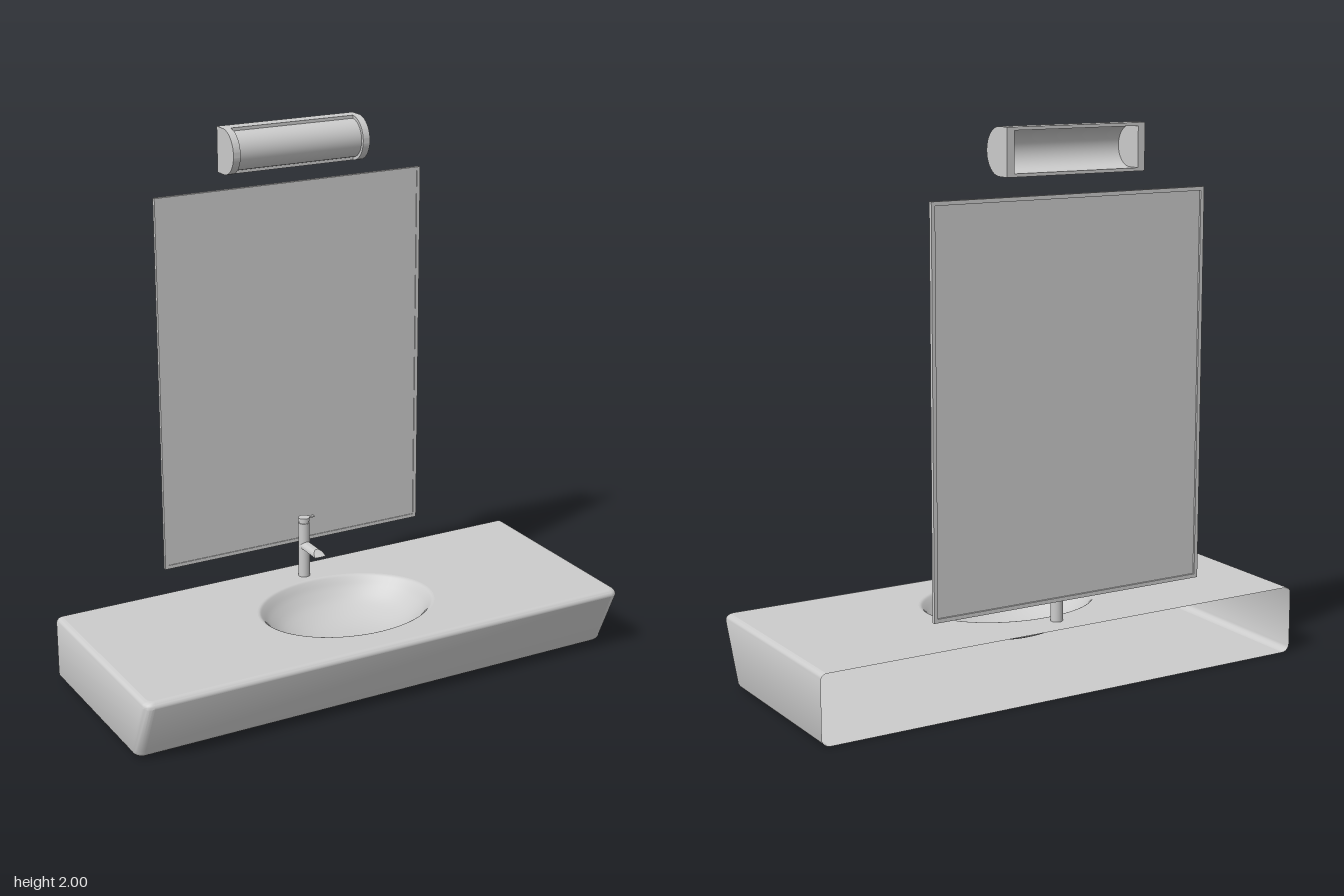
import * as THREE from 'three';
import { toCreasedNormals } from 'three/addons/utils/BufferGeometryUtils.js';

const grey = new THREE.MeshStandardMaterial({ color: 0xcccccc, side: THREE.DoubleSide });
grey.name = 'plain grey';

const BACK = -0.4;

function add(parent, name, geometry, x = 0, y = 0, z = 0) {
  const mesh = new THREE.Mesh(geometry, grey);
  mesh.name = name;
  mesh.position.set(x, y, z);
  parent.add(mesh);
  return mesh;
}

const box = (w, h, d) => new THREE.BoxGeometry(w, h, d);

// U-shaped outline in [x, z], open at the back, with rounded front corners
function outline(w, front, r) {
  const pts = [[-w, BACK]];
  for (const side of [-1, 1]) {
    for (let i = 0; i <= 6; i++) {
      const t = (side < 0 ? i : 6 - i) / 6 * Math.PI / 2;
      pts.push([side * (w - r + r * Math.cos(t)), front - r + r * Math.sin(t)]);
    }
  }
  pts.push([w, BACK]);
  return pts;
}

function flatShape(pts) {
  return new THREE.Shape(pts.map(([x, z]) => new THREE.Vector2(x, -z)));
}

// Skin joining a stack of outlines, each { y, pts }
function loft(layers) {
  const n = layers[0].pts.length, position = [], index = [];
  for (const { y, pts } of layers) for (const [x, z] of pts) position.push(x, y, z);
  for (let j = 0; j < layers.length - 1; j++) {
    for (let i = 0; i < n - 1; i++) {
      const a = j * n + i, b = a + 1, c = a + n, d = c + 1;
      index.push(a, b, d, a, d, c);
    }
  }
  const g = new THREE.BufferGeometry();
  g.setAttribute('position', new THREE.Float32BufferAttribute(position, 3));
  g.setIndex(index);
  return toCreasedNormals(g, 0.6);
}

function createBasin() {
  const group = new THREE.Group();
  group.name = 'basin';
  const W = 0.975, H = 0.252;
  const layers = [];
  const layer = (y, inset, front) =>
    layers.push({ y, pts: outline(W - inset, front, 0.035 - inset * 0.6) });
  // bottom fillet, sloping front, top fillet
  for (let i = 0; i <= 5; i++) {
    const t = i / 5 * Math.PI / 2, s = 1 - Math.sin(t);
    layer(0.03 * (1 - Math.cos(t)), 0.03 * s, 0.308 - 0.035 * s);
  }
  for (let i = 0; i <= 5; i++) {
    const t = i / 5 * Math.PI / 2, s = 1 - Math.cos(t);
    layer(H - 0.022 + 0.022 * Math.sin(t), 0.022 * s, 0.4 - 0.022 * s);
  }
  add(group, 'basinWalls', loft(layers));

  const bottom = new THREE.ShapeGeometry(flatShape(layers[0].pts));
  bottom.rotateX(-Math.PI / 2);
  add(group, 'basinFloor', bottom);

  // counter top with an oval opening, and the bowl below it
  const cx = 0.01, cz = 0.015, rx = 0.345, rz = 0.267;
  const top = flatShape(layers[layers.length - 1].pts);
  const hole = new THREE.Path();
  hole.absellipse(cx, -cz, rx, rz, 0, Math.PI * 2, true);
  top.holes.push(hole);
  const counter = new THREE.ShapeGeometry(top, 32);
  counter.rotateX(-Math.PI / 2);
  add(group, 'counterTop', counter, 0, H);

  const profile = new THREE.SplineCurve([
    [1, 0], [0.97, -0.003], [0.93, -0.016], [0.85, -0.045],
    [0.7, -0.083], [0.48, -0.113], [0.24, -0.127], [0, -0.13],
  ].map(([x, y]) => new THREE.Vector2(x, y)));
  const pts = profile.getPoints(28);
  pts[pts.length - 1].x = 0;
  const bowl = new THREE.LatheGeometry(pts, 64);
  bowl.scale(rx, 1, rz);
  add(group, 'bowl', bowl, cx, H, cz);
  return group;
}

function createTap() {
  const group = new THREE.Group();
  group.name = 'tap';
  const z = -0.3, r = 0.022;
  add(group, 'tapBody', new THREE.CylinderGeometry(r, r, 0.218, 32), 0, 0.361, z);
  add(group, 'tapNeck', new THREE.CylinderGeometry(r * 0.85, r * 0.85, 0.008, 32), 0, 0.474, z);
  add(group, 'tapCap', new THREE.CylinderGeometry(r, r, 0.014, 32), 0, 0.484, z);
  add(group, 'tapLever', box(0.042, 0.006, 0.012), 0.022, 0.488, z);

  // half-round spout with a slanted mouth
  const section = new THREE.Shape();
  section.absarc(0, 0, r, 0, Math.PI, false);
  const spout = new THREE.ExtrudeGeometry(section, { depth: 0.135, bevelEnabled: false, curveSegments: 16 });
  const p = spout.attributes.position;
  for (let i = 0; i < p.count; i++) {
    if (p.getZ(i) > 0.1) p.setZ(i, 0.135 - p.getY(i) * 1.5 - 8 * p.getX(i) ** 2);
  }
  add(group, 'tapSpout', toCreasedNormals(spout, 0.6), 0, 0.374, z);
  return group;
}

function createMirror() {
  const group = new THREE.Group();
  group.name = 'mirror';
  const w = 1.09, h = 1.415, lip = 0.014, depth = 0.014;
  const rect = (Type, a, b) => new Type([[-a, -b], [a, -b], [a, b], [-a, b]].map(q => new THREE.Vector2(...q)));
  const frame = rect(THREE.Shape, w / 2, h / 2);
  frame.holes.push(rect(THREE.Path, w / 2 - lip, h / 2 - lip));
  add(group, 'mirrorFrame', new THREE.ExtrudeGeometry(frame, { depth, bevelEnabled: false }), 0, 0, BACK);
  add(group, 'mirrorPane', box(w - 2 * lip, h - 2 * lip, 0.004), 0, 0, BACK + 0.009);
  group.position.set(0.005, 0.355 + h / 2, 0);
  return group;
}

function createLamp() {
  const group = new THREE.Group();
  group.name = 'wallLamp';
  const R = 0.0825, zc = -0.352, cap = 0.028, half = 0.275, inner = 2 * (half - cap);

  // D-shaped end caps, drawn with shape x along -z
  const d = new THREE.Shape();
  d.moveTo(zc - BACK, -R);
  d.lineTo(zc - BACK, R);
  d.lineTo(0, R);
  d.absarc(0, 0, R, Math.PI / 2, Math.PI * 1.5, false);
  d.closePath();
  for (const side of [-1, 1]) {
    const g = new THREE.ExtrudeGeometry(d, { depth: cap, bevelEnabled: false, curveSegments: 32 });
    g.translate(0, 0, -cap / 2);
    g.rotateY(Math.PI / 2);
    add(group, 'lampEndCap', toCreasedNormals(g, 0.6), side * (half - cap / 2), 0, zc);
  }

  // half-round diffuser, open at the back
  const shade = new THREE.CylinderGeometry(0.071, 0.071, inner, 40, 1, true, 0, Math.PI);
  shade.rotateY(-Math.PI / 2);
  shade.rotateZ(Math.PI / 2);
  add(group, 'lampShade', shade, 0, 0, zc);

  // plates above and below the diffuser
  for (const side of [-1, 1]) {
    add(group, 'lampPlate', box(inner, 0.0115, 0.055), 0, side * (R - 0.00575), BACK + 0.0275);
  }
  group.position.set(-0.01, 2 - R, 0);
  return group;
}

export function createModel() {
  const model = new THREE.Group();
  model.name = 'washstand';
  model.add(createBasin(), createTap(), createMirror(), createLamp());
  return model;
}
